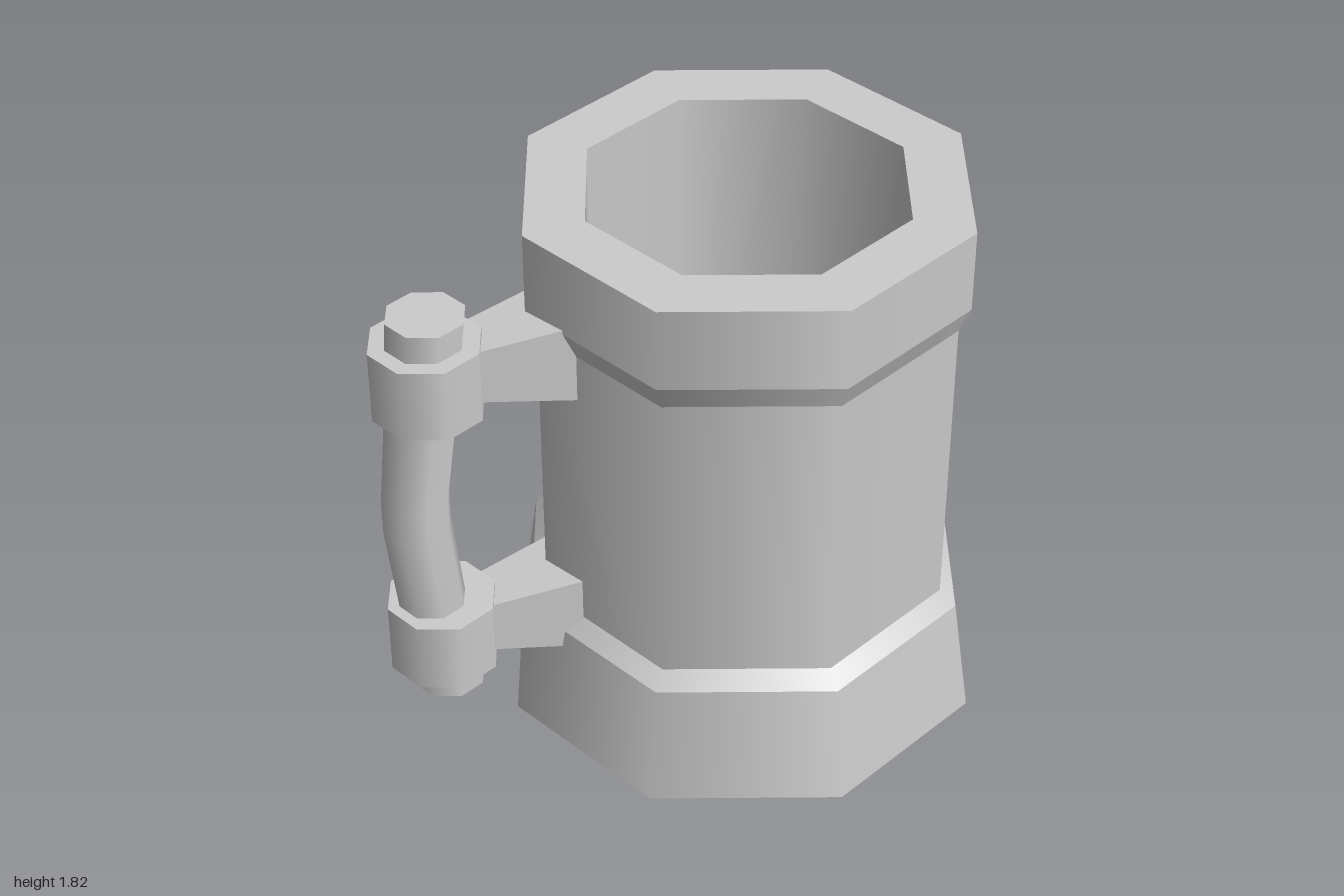
import * as THREE from 'three';
import { mergeGeometries } from 'three/addons/utils/BufferGeometryUtils.js';

const SIDES = 8;
const CUP_X = 0.205;
const GRIP_X = -0.825, GRIP_Z = 0.025;

const material = new THREE.MeshStandardMaterial({ color: 0xcccccc });

function addMesh(parent, name, geometry, x = 0, y = 0, z = 0) {
  const mesh = new THREE.Mesh(geometry, material);
  mesh.name = name;
  mesh.position.set(x, y, z);
  parent.add(mesh);
  return mesh;
}

// Lathe made of separate bands: smooth around, sharp between bands
function bandedLathe(profile) {
  const bands = [];
  for (let i = 0; i < profile.length - 1; i++) {
    const pair = [profile[i], profile[i + 1]].map(([r, y]) => new THREE.Vector2(r, y));
    bands.push(new THREE.LatheGeometry(pair, SIDES));
  }
  return mergeGeometries(bands);
}

// Bent grip: each ring of a cylinder is placed by [y, centre x, radius]
function bentRod(rings) {
  const n = rings.length - 1;
  const geometry = new THREE.CylinderGeometry(1, 1, n, SIDES, n);
  const pos = geometry.attributes.position;
  for (let i = 0; i < pos.count; i++) {
    const [y, x, r] = rings[Math.round(n / 2 - pos.getY(i))];
    pos.setXYZ(i, x + pos.getX(i) * r, y, pos.getZ(i) * r);
  }
  return geometry;
}

// Bracket: a box that widens from the clamp towards the cup
function bracketGeometry() {
  const geometry = new THREE.BoxGeometry(0.29, 1, 1);
  const pos = geometry.attributes.position;
  for (let i = 0; i < pos.count; i++) {
    const atCup = pos.getX(i) > 0;
    pos.setY(i, pos.getY(i) * (atCup ? 0.265 : 0.18));
    pos.setZ(i, pos.getZ(i) * (atCup ? 0.26 : 0.16));
  }
  const flat = geometry.toNonIndexed();
  flat.computeVertexNormals();
  return flat;
}

export function createModel() {
  const model = new THREE.Group();
  model.name = 'tankard';

  // Cup: flared foot, straight wall, collar, rim and hollow inside
  addMesh(model, 'cup', bandedLathe([
    [0, 0], [0.79, 0], [0.73, 0.4], [0.675, 0.45], [0.675, 1.46],
    [0.71, 1.545], [0.71, 1.815], [0.515, 1.815], [0.515, 0.2], [0, 0.2],
  ]), CUP_X);

  // Handle: bent grip held by two clamps on brackets
  const handle = new THREE.Group();
  handle.name = 'handle';
  model.add(handle);

  addMesh(handle, 'grip', bentRod([
    [1.64, -0.818, 0.123], [1.31, -0.85, 0.115], [1.0, -0.886, 0.108],
    [0.88, -0.886, 0.108], [0.58, -0.855, 0.107], [0.25, -0.816, 0.117],
  ]), 0, 0, GRIP_Z);

  for (const [label, y] of [['upper', 1.43], ['lower', 0.46]]) {
    addMesh(handle, label + 'Clamp',
      new THREE.CylinderGeometry(0.175, 0.175, 0.24, SIDES), GRIP_X, y, GRIP_Z);
    addMesh(handle, label + 'Bracket', bracketGeometry(), -0.547, y + 0.003, GRIP_Z);
  }

  return model;
}
